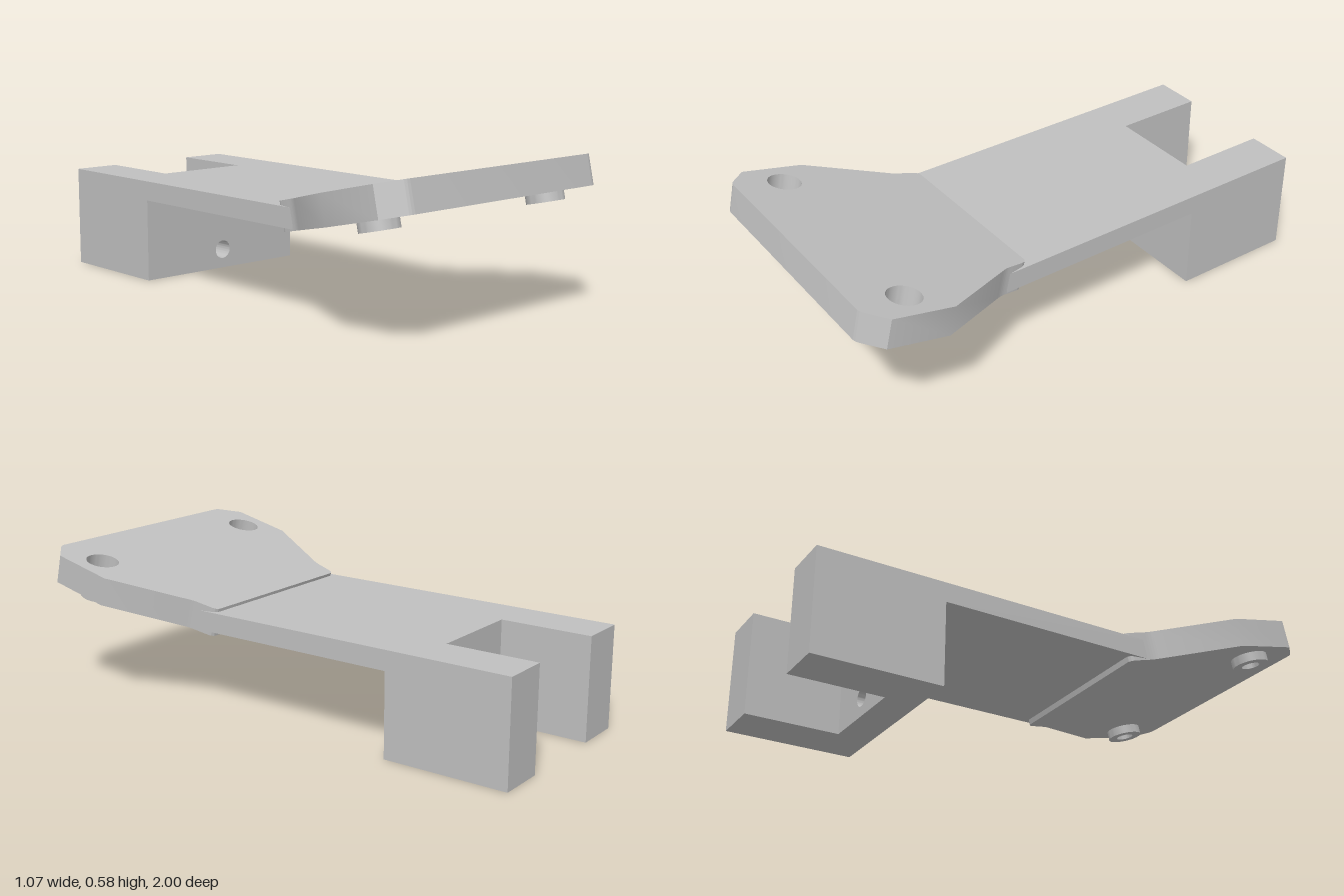
import * as THREE from 'three';
import { toCreasedNormals } from 'three/addons/utils/BufferGeometryUtils.js';

const grey = new THREE.MeshStandardMaterial({ color: 0xbfbfbf });
grey.name = 'grey';

function mesh(name, geometry, x = 0, y = 0, z = 0) {
  const m = new THREE.Mesh(geometry, grey);
  m.name = name;
  m.position.set(x, y, z);
  return m;
}

// Box given by its limits on each axis
function block(name, x0, x1, y0, y1, z0, z1) {
  return mesh(name, new THREE.BoxGeometry(x1 - x0, y1 - y0, z1 - z0),
    (x0 + x1) / 2, (y0 + y1) / 2, (z0 + z1) / 2);
}

function addHole(shape, x, y, r) {
  shape.holes.push(new THREE.Path().absarc(x, y, r, 0, Math.PI * 2, true));
}

function extrude(shape, depth) {
  const g = new THREE.ExtrudeGeometry(shape, { depth, bevelEnabled: false, curveSegments: 24 });
  return toCreasedNormals(g, 0.5);
}

export function createModel() {
  const model = new THREE.Group();
  model.name = 'bracket';
  const W = 0.375;

  // Flat arm running from the clamp block to the tilted plate
  model.add(block('arm', -W, W, 0.322, 0.398, -0.51, 0.35));

  // Clamp block: drilled bridge with two prongs behind it
  const bridge = new THREE.Shape();
  bridge.moveTo(-W, 0).lineTo(W, 0).lineTo(W, 0.398).lineTo(-W, 0.398).closePath();
  addHole(bridge, 0.002, 0.077, 0.037);
  model.add(mesh('bridge', extrude(bridge, 0.13), 0, 0, -0.64));
  model.add(block('leftProng', 0.19, W, 0, 0.398, -1, -0.64));
  model.add(block('rightProng', -W, -0.19, 0, 0.398, -1, -0.64));

  // Tilted mounting plate; local z runs along it, y is its thickness
  const head = new THREE.Group();
  head.name = 'mountingPlate';
  head.position.set(0, 0.41, 0.256);
  head.rotation.x = -THREE.MathUtils.degToRad(13);
  model.add(head);

  const T = 0.112, holeX = 0.423, holeV = 0.546;
  const plate = new THREE.Shape();
  plate.moveTo(-0.34, 0).lineTo(0.34, 0);
  plate.quadraticCurveTo(0.362, 0, 0.366, 0.025);
  plate.lineTo(0.375, 0.075).quadraticCurveTo(0.378, 0.1, 0.39, 0.122);
  plate.lineTo(0.537, 0.418).lineTo(0.537, 0.662).lineTo(0.475, 0.725);
  plate.quadraticCurveTo(0.462, 0.738, 0.445, 0.738);
  plate.lineTo(-0.445, 0.738).quadraticCurveTo(-0.462, 0.738, -0.475, 0.725);
  plate.lineTo(-0.537, 0.662).lineTo(-0.537, 0.418).lineTo(-0.39, 0.122);
  plate.quadraticCurveTo(-0.378, 0.1, -0.375, 0.075).lineTo(-0.366, 0.025);
  plate.quadraticCurveTo(-0.362, 0, -0.34, 0);
  for (const s of [-1, 1]) addHole(plate, s * holeX, holeV, 0.063);
  head.add(mesh('plate', extrude(plate, T).rotateX(Math.PI / 2)));

  // Drilled bosses under the plate, forming the floors of the screw recesses
  const ring = new THREE.Shape().absarc(0, 0, 0.07, 0, Math.PI * 2, false);
  addHole(ring, 0, 0, 0.035);
  const boss = extrude(ring, 0.035).rotateX(Math.PI / 2);
  for (const s of [-1, 1]) {
    head.add(mesh(s > 0 ? 'leftBoss' : 'rightBoss', boss, s * holeX, -T, holeV));
  }
  return model;
}
